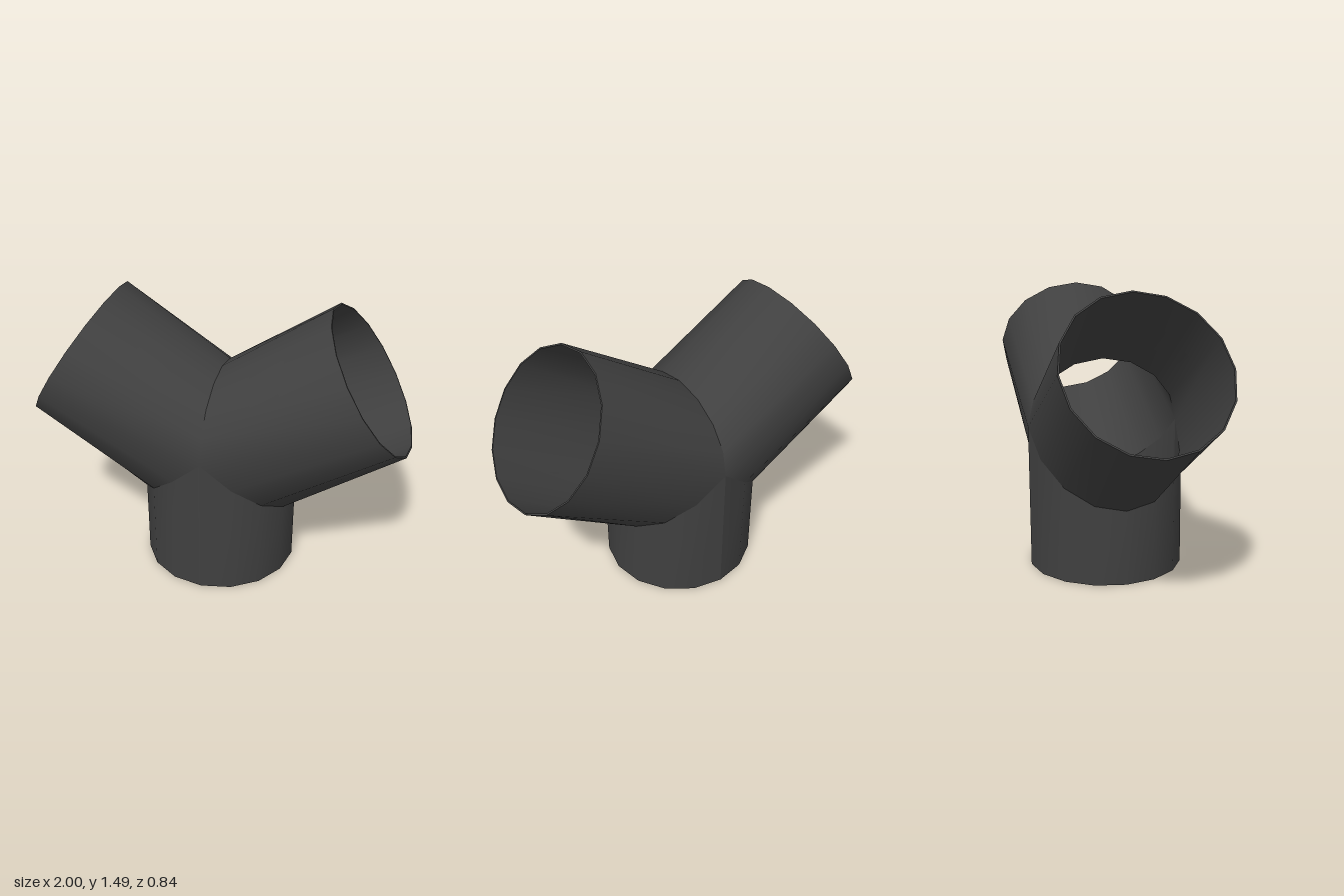
import * as THREE from 'three';
import { mergeGeometries, mergeVertices } from 'three/addons/utils/BufferGeometryUtils.js';

const SIDES = 16;
const R = 0.413;          // pipe radius
const WALL = 0.98;        // inner radius as a share of the outer
const KNOT = 0.76;        // height where the three seams meet
const UP = 0.355;         // rise of the seam between the arms
const DOWN = 0.37;        // drop of the seams beside the stem

// The whole fitting leans back very slightly
const lean = (x, y, z) => [x, y, z + 0.008 - 0.0105 * y * y];

// Arc of points from a rule of cosine and sine, counted in sides
function arc(rule, k, first, count) {
  return Array.from({ length: count + 1 }, (_, i) => {
    const a = ((first + i) / SIDES) * Math.PI * 2;
    return lean(...rule(Math.cos(a) * k, Math.sin(a) * k));
  });
}

// Smooth band of faces between two arcs
function band(a, b, flip) {
  const n = a.length;
  const index = [];
  for (let i = 0; i < n - 1; i++) {
    const quad = [i, i + n, i + 1, i + 1, i + n, i + n + 1];
    index.push(...(flip ? quad.reverse() : quad));
  }
  const geo = new THREE.BufferGeometry();
  geo.setAttribute('position', new THREE.Float32BufferAttribute([...a, ...b].flat(), 3));
  geo.setIndex(index);
  const welded = mergeVertices(geo);
  welded.computeVertexNormals();
  return welded;
}

// Hollow pipe: outer wall, inner wall and the rim at its open end.
// Each entry of starts begins a smooth shell, with a crease between shells.
function pipe(name, endRule, seamRule, starts, flip, material) {
  const count = SIDES / starts.length;
  const bands = starts.flatMap((first) => {
    const end = arc(endRule, 1, first, count);
    const seam = arc(seamRule, 1, first, count);
    const endIn = arc(endRule, WALL, first, count);
    const seamIn = arc(seamRule, WALL, first, count);
    return [band(end, seam, flip), band(seamIn, endIn, flip), band(endIn, end, flip)];
  });
  const mesh = new THREE.Mesh(mergeGeometries(bands), material);
  mesh.name = name;
  return mesh;
}

export function createModel() {
  const group = new THREE.Group();
  group.name = 'pipeJunction';
  const material = new THREE.MeshStandardMaterial({ color: 0x404040, side: THREE.DoubleSide });

  // Upright stem of two half shells, cut to a peak at the front and back
  group.add(pipe('stem',
    (c, s) => [R * c, 0, R * s],
    (c, s) => [R * c, KNOT - DOWN * Math.abs(c), R * s],
    [SIDES / 4, SIDES * 3 / 4], false, material));

  // Two slanted arms meeting each other above and the stem below
  for (const side of [1, -1]) {
    group.add(pipe(side > 0 ? 'leftArm' : 'rightArm',
      (c, s) => [side * (0.775 - 0.225 * c), 1.14 + 0.345 * c, R * s],
      (c, s) => (c > 0
        ? [0, KNOT + UP * c, R * s]
        : [-side * R * c, KNOT + DOWN * c, R * s]),
      [0], side < 0, material));
  }
  return group;
}
